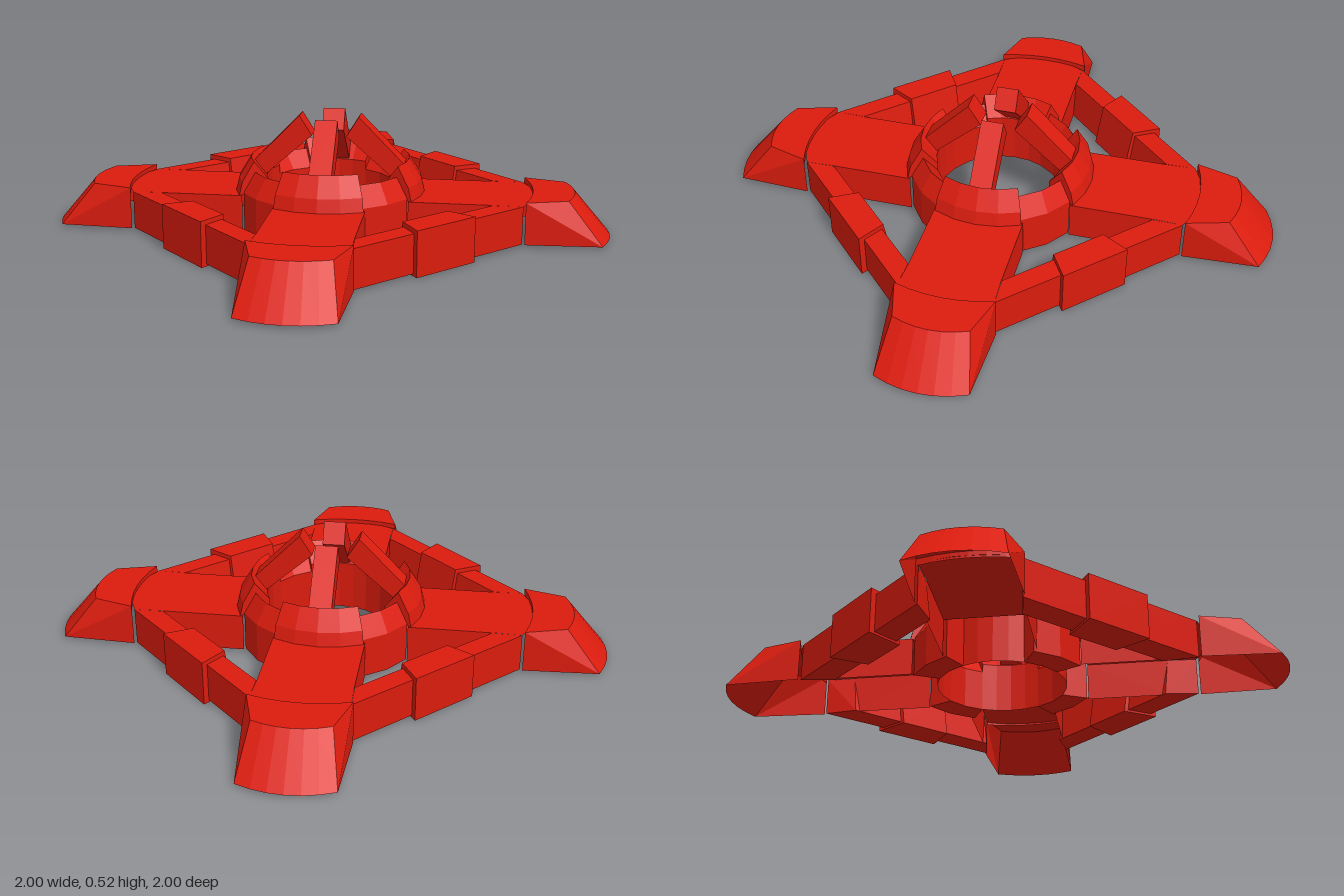
import * as THREE from 'three';

const red = new THREE.MeshStandardMaterial({ color: 0xdc1c0e, flatShading: true, side: THREE.DoubleSide });
const DEG = Math.PI / 180;

// Surface through a row of equally long cross-sections; optionally closed round and capped.
function loft(name, sections, { closed = false, caps = false } = {}) {
  const pos = [];
  const tri = (a, b, c) => pos.push(...a, ...b, ...c);
  const n = sections[0].length;
  for (let i = 0; i + 1 < sections.length; i++) {
    const A = sections[i], B = sections[i + 1];
    for (let j = 0; j < (closed ? n : n - 1); j++) {
      const k = (j + 1) % n;
      tri(A[j], A[k], B[k]);
      tri(A[j], B[k], B[j]);
    }
  }
  if (caps) {
    const A = sections[0], B = sections[sections.length - 1];
    for (let j = 1; j + 1 < n; j++) {
      tri(A[0], A[j + 1], A[j]);
      tri(B[0], B[j], B[j + 1]);
    }
  }
  const geo = new THREE.BufferGeometry();
  geo.setAttribute('position', new THREE.Float32BufferAttribute(pos, 3));
  geo.computeVertexNormals();
  const mesh = new THREE.Mesh(geo, red);
  mesh.name = name;
  return mesh;
}

// Point along the diagonal: u outward, v sideways, y up
const diag = (u, v, y) => [(u + v) * Math.SQRT1_2, y, (u - v) * Math.SQRT1_2];

// Ring piece: a [radius, height] profile swept between two angles
function ringPiece(name, profile, from, to, steps, options) {
  const sections = [];
  for (let i = 0; i <= steps; i++) {
    const a = (from + (to - from) * i / steps) * DEG;
    sections.push(profile.map(([r, y]) => [r * Math.sin(a), y, r * Math.cos(a)]));
  }
  return loft(name, sections, options);
}

// Hollow foot with a rounded, sloping outer wall
function makeFoot() {
  const foot = new THREE.Group();
  foot.name = 'foot';
  const sections = [];
  for (let i = 0; i <= 6; i++) {
    const t = i / 3 - 1, bulge = 1 - t * t;
    const uIn = 0.88 + 0.035 * bulge, vIn = 0.214 * t;
    sections.push([
      diag(uIn, vIn, 0.17),
      diag(uIn, vIn, 0.2),
      diag(1.064 + 0.035 * bulge, 0.16 * t, 0.2),
      diag(1.216 + 0.045 * bulge, 0.198 * t, 0.01),
    ]);
  }
  foot.add(loft('footShell', sections));
  for (const s of [1, -1]) {
    foot.add(loft('footSide', [
      [diag(0.88, 0.214 * s, 0.2), diag(0.88, 0.214 * s, 0.01)],
      [diag(1.064, 0.16 * s, 0.2), diag(1.216, 0.198 * s, 0.01)],
    ]));
  }
  return foot;
}

// Diagonal arm, open underneath
function makeArm() {
  const arm = new THREE.Group();
  arm.name = 'arm';
  const outline = [[0.37, 0.2], [0.739, 0.2], [0.87, 0.205], [0.9, 0.14], [0.915, 0.06]];
  arm.add(loft('armTop', outline.map(([u, v]) => [diag(u, v, 0.18), diag(u, -v, 0.18)])));
  for (const s of [1, -1]) {
    arm.add(loft('armWall', [0.37, 0.739].map(u => [diag(u, 0.2 * s, 0.18), diag(u, 0.2 * s, 0.01)])));
  }
  return arm;
}

// Tall ring segment at the arm, with its end faces
function makeRingSegment() {
  const group = new THREE.Group();
  group.name = 'ringSegment';
  const crest = [[0.29, 0.24], [0.36, 0.33], [0.415, 0.24], [0.43, 0.18]];
  group.add(ringPiece('ringShell', [[0.29, 0.01], ...crest], 18, 72, 4));
  for (const a of [18, 72]) {
    const [p, q, r, s] = crest.map(([rad, y]) => [rad * Math.sin(a * DEG), y, rad * Math.cos(a * DEG)]);
    const foot = [p[0], 0.18, p[2]];
    group.add(loft('ringEnd', [[p, q], [foot, r], [foot, s]]));
  }
  return group;
}

// Prong leaning in over the middle
function makeProng() {
  const profile = [[0.34, 0.31], [0.134, 0.52], [0.078, 0.43], [0.295, 0.24]];
  return loft('prong', [-0.05, 0.05].map(v => profile.map(([u, y]) => diag(u, v, y))),
    { closed: true, caps: true });
}

// Bar and clip: the same z-y profile at both ends, each point with its own half width
function crossPiece(name, profile) {
  return loft(name, [-1, 1].map(s => profile.map(([x, y, z]) => [s * x, y, z])), { closed: true, caps: true });
}

export function createModel() {
  const model = new THREE.Group();
  model.name = 'crossBase';
  for (let k = 0; k < 4; k++) {
    const quarter = new THREE.Group();
    quarter.name = 'quarter';
    quarter.rotation.y = k * Math.PI / 2;
    quarter.add(
      makeFoot(),
      makeArm(),
      makeRingSegment(),
      makeProng(),
      crossPiece('edgeBar', [[0.38, 0.01, 0.64], [0.47, 0.01, 0.76], [0.47, 0.18, 0.76], [0.38, 0.18, 0.665]]),
      crossPiece('clip', [[0.125, 0, 0.62], [0.16, 0, 0.787], [0.16, 0.2, 0.787], [0.125, 0.2, 0.655]]),
      // Low ring link between two arms
      ringPiece('ringLink', [[0.29, 0.01], [0.41, 0.01], [0.41, 0.19], [0.355, 0.28], [0.29, 0.2]],
        -18, 18, 2, { closed: true, caps: true }),
    );
    model.add(quarter);
  }
  return model;
}
